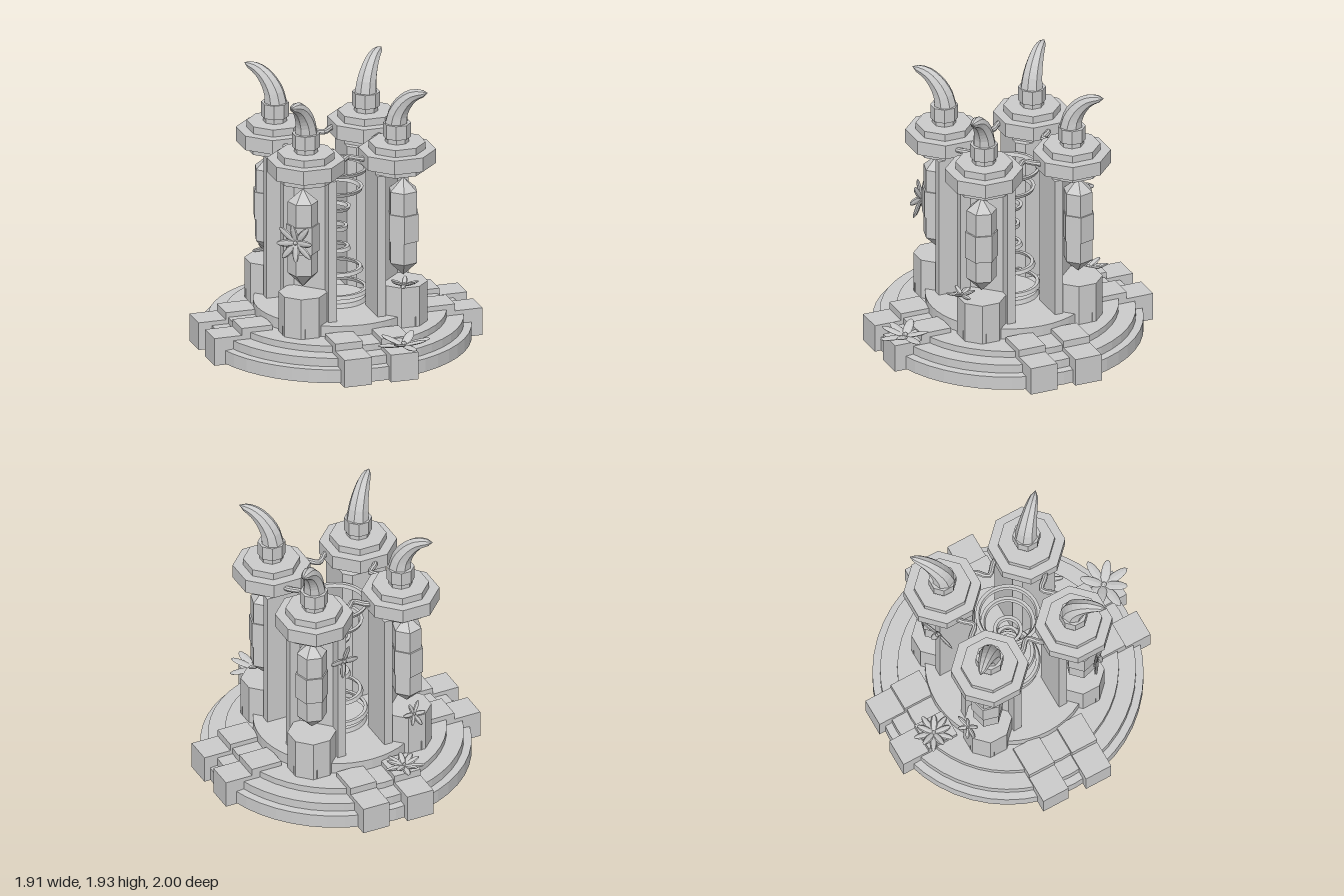
import * as THREE from 'three';

const mat = new THREE.MeshStandardMaterial({ color: 0xcccccc, flatShading: true, side: THREE.DoubleSide });
const V2 = (p) => new THREE.Vector2(p[0], p[1]);
const V3 = (p) => new THREE.Vector3(p[0], p[1], p[2]);

function add(parent, name, geo, x = 0, y = 0, z = 0) {
  const m = new THREE.Mesh(geo, mat);
  m.name = name;
  m.position.set(x, y, z);
  parent.add(m);
  return m;
}

// Octagonal slab with sides square to the axes; a is half its width
function octagon(parent, name, a, y0, y1, c) {
  const r = a / Math.cos(Math.PI / 8);
  const geo = new THREE.CylinderGeometry(r, r, y1 - y0, 8, 1, false, Math.PI / 8);
  return add(parent, name, geo, c, (y0 + y1) / 2, c);
}

// Curved, tapering horn that leans outwards along the diagonal
function hornGeometry() {
  const curve = new THREE.CatmullRomCurve3(
    [[0, 1.66, 0], [0.015, 1.74, 0], [0.06, 1.82, 0], [0.13, 1.883, 0], [0.235, 1.915, 0]].map(V3));
  const rings = 10, sides = 8;
  const geo = new THREE.TubeGeometry(curve, rings, 1, sides, false);
  const pos = geo.attributes.position, v = new THREE.Vector3();
  for (let i = 0; i <= rings; i++) {
    const t = i / rings, c = curve.getPointAt(t);
    const r = i === rings ? 0.002 : 0.077 * Math.pow(1 - t, 0.5) + 0.002;
    for (let j = 0; j <= sides; j++) {
      const k = i * (sides + 1) + j;
      v.fromBufferAttribute(pos, k).sub(c).multiplyScalar(r).add(c);
      pos.setXYZ(k, v.x, v.y, v.z);
    }
  }
  return geo;
}

function pillar() {
  const g = new THREE.Group();
  g.name = 'pillar';
  const c = 0.325;
  octagon(g, 'pillarBase', 0.152, 0.24, 0.545, 0.358);

  // Shaft with a niche on its outer corner
  const plan = [[0.195, 0.145], [0.445, 0.145], [0.445, 0.205], [0.37, 0.205],
    [0.205, 0.37], [0.205, 0.445], [0.145, 0.445], [0.145, 0.195]];
  const shaft = new THREE.ExtrudeGeometry(new THREE.Shape(plan.map(V2)), { depth: 1.01, bevelEnabled: false });
  shaft.rotateX(Math.PI / 2);
  add(g, 'shaft', shaft, 0, 1.34, 0);

  // Six-sided pointed crystal, one edge facing outwards, with a band round its middle
  const crystal = [[0, 0.585], [0.103, 0.685], [0.103, 1.195], [0, 1.285]].map(V2);
  const band = [[0.09, 0.84], [0.112, 0.84], [0.112, 1.035], [0.09, 1.035]].map(V2);
  add(g, 'crystal', new THREE.LatheGeometry(crystal, 6, Math.PI / 4), 0.357, 0, 0.357);
  add(g, 'crystalBand', new THREE.LatheGeometry(band, 6, Math.PI / 4), 0.359, 0, 0.359);

  // Capital
  octagon(g, 'capitalNeck', 0.18, 1.335, 1.39, c);
  octagon(g, 'capital', 0.243, 1.385, 1.485, c);
  octagon(g, 'capitalTop', 0.178, 1.485, 1.535, c);
  octagon(g, 'hornSeat', 0.075, 1.535, 1.575, c);
  octagon(g, 'hornCollar', 0.087, 1.57, 1.67, c);
  add(g, 'horn', hornGeometry(), c - 0.005, 0, c - 0.005).rotation.y = -Math.PI / 4;

  // Diagonal foot with a sloping underside
  const side = [[0.64, 0], [0.64, 0.33], [0.4, 0.33], [0.4, 0.11], [0.48, 0.055], [0.61, 0]];
  const foot = new THREE.ExtrudeGeometry(new THREE.Shape(side.map(V2)), { depth: 0.17, bevelEnabled: false });
  foot.translate(0, 0, -0.085);
  add(g, 'foot', foot).rotation.y = -Math.PI / 4;
  return g;
}

// Leafy rosette: opens along local +y, then turned to face a direction
function flower(parent, pos, normal, radius, leaves, tilt) {
  const g = new THREE.Group();
  g.name = 'flower';
  for (let i = 0; i < leaves; i++) {
    const arm = new THREE.Group();
    arm.rotation.y = (i / leaves) * Math.PI * 2 + 0.1;
    const len = radius * (i % 2 ? 0.88 : 1);
    const geo = new THREE.SphereGeometry(1, 8, 6);
    geo.rotateZ(Math.PI / 2);
    geo.scale(len / 2, 0.011, radius * 0.17);
    geo.translate(len / 2, 0, 0);
    add(arm, 'leaf', geo).rotation.z = tilt * (i % 2 ? 1.6 : 0.6);
    g.add(arm);
  }
  add(g, 'flowerHeart', new THREE.SphereGeometry(radius * 0.1, 8, 6), 0, 0.01, 0);
  g.position.set(...pos);
  g.quaternion.setFromUnitVectors(new THREE.Vector3(0, 1, 0), V3(normal).normalize());
  parent.add(g);
}

export function createModel() {
  const model = new THREE.Group();
  const shrine = new THREE.Group();
  shrine.name = 'shrine';
  shrine.position.z = -0.045;
  model.add(shrine);

  // Stepped round base: flat disc under the middle, hollow channels further out
  const base = [[0, 0.12], [0.53, 0.12], [0.53, 0.2], [0.7, 0.2], [0.7, 0.055],
    [0.735, 0.055], [0.735, 0.12], [0.88, 0.12], [0.88, 0.055], [0.915, 0.055], [0.915, 0.15], [0.863, 0.155],
    [0.863, 0.215], [0.747, 0.215], [0.747, 0.26], [0.56, 0.26], [0.56, 0.335], [0, 0.335]].map(V2);
  add(shrine, 'steppedBase', new THREE.LatheGeometry(base, 48));
  add(shrine, 'lowerRail', new THREE.TorusGeometry(0.81, 0.015, 4, 48), 0, 0.08, 0).rotation.x = Math.PI / 2;
  for (let i = 0; i < 64; i++) {
    const a = (i / 64) * Math.PI * 2;
    add(shrine, 'underRib', new THREE.BoxGeometry(0.15, 0.055, 0.02), Math.cos(a) * 0.808, 0.095, Math.sin(a) * 0.808)
      .rotation.y = -a;
  }
  add(shrine, 'dais', new THREE.CylinderGeometry(0.2, 0.21, 0.03, 32), 0, 0.35, 0);

  // Tie rods between capitals bow in towards the middle
  const rodPath = new THREE.CatmullRomCurve3(
    [[-0.15, 0, 0.36], [-0.07, 0, 0.325], [0, 0, 0.26], [0.07, 0, 0.325], [0.15, 0, 0.36]].map(V3));
  const rod = new THREE.TubeGeometry(rodPath, 16, 0.019, 8);

  // Four sides: a pillar, a pair of stepped blocks and a tie rod each
  for (let k = 0; k < 4; k++) {
    const quarter = new THREE.Group();
    quarter.name = 'quarter';
    quarter.rotation.y = (k * Math.PI) / 2;
    shrine.add(quarter);
    quarter.add(pillar());
    for (const s of [-1, 1]) {
      add(quarter, 'outerBlock', new THREE.BoxGeometry(0.195, 0.195, 0.2), s * 0.165, 0.1475, 0.855);
      add(quarter, 'innerBlock', new THREE.BoxGeometry(0.195, 0.17, 0.22), s * 0.165, 0.21, 0.65);
    }
    add(quarter, 'tieRod', rod, 0, 1.437, 0);
  }

  // Hanging rings: wide at both ends, narrow in the middle; [y, top radius, bottom radius, height]
  const rings = [[0.41, 0.21, 0.22, 0.024], [0.56, 0.175, 0.185, 0.024], [0.705, 0.09, 0.1, 0.024], [0.85, 0.08, 0.08, 0.028],
    [0.99, 0.1, 0.09, 0.024], [1.13, 0.185, 0.175, 0.024], [1.275, 0.22, 0.21, 0.024]];
  for (const [y, rt, rb, h] of rings) {
    const p = [[rb - 0.022, 0], [rb, 0], [rt, h], [rt - 0.022, h], [rb - 0.022, 0]].map(V2);
    add(shrine, 'floatingRing', new THREE.LatheGeometry(p, 32), 0, y - h / 2, 0);
  }

  // Rosettes on the base, the plinths and the pillars
  flower(model, [0.195, 0.265, 0.805], [0, 1, 0], 0.195, 8, 0.2);
  flower(model, [-0.18, 0.295, -0.72], [0, 1, 0], 0.14, 10, 0.18);
  flower(model, [0.32, 0.555, 0.44], [0, 1, 0], 0.11, 6, 0.25);
  flower(model, [-0.34, 0.56, -0.54], [-0.3, 0.5, -1], 0.1, 6, 0.15);
  flower(model, [-0.435, 0.935, 0.4], [-1, 0, 1], 0.155, 8, 0.15);
  flower(model, [0.165, 1.12, -0.495], [-0.4, 0, -1], 0.14, 4, 0.12);
  return model;
}
